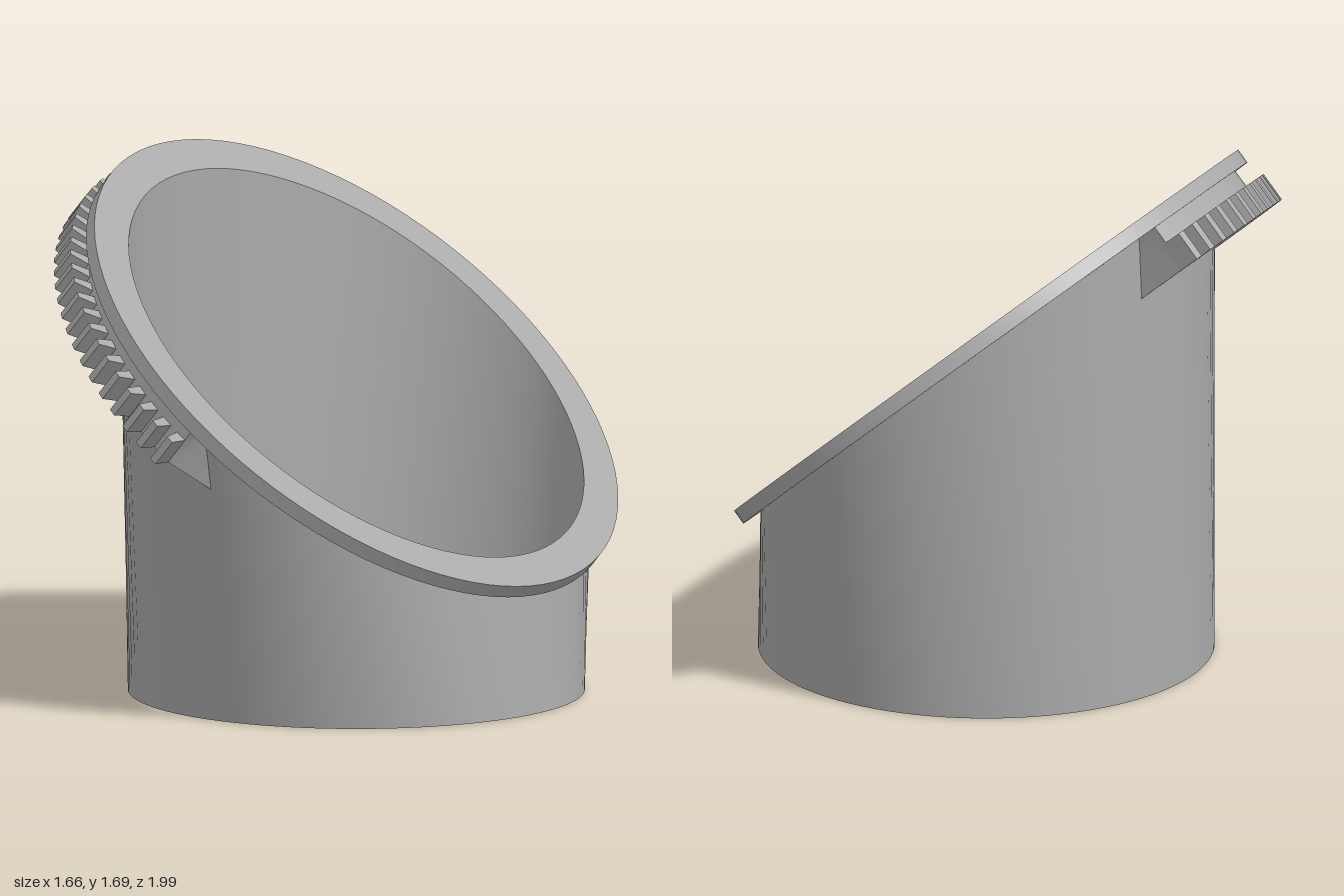
import * as THREE from 'three';

const TILT = THREE.MathUtils.degToRad(40);
const U = new THREE.Vector3(Math.cos(TILT), -Math.sin(TILT), 0); // downhill direction of the rim
const N = new THREE.Vector3(Math.sin(TILT), Math.cos(TILT), 0);  // rim normal
const CENTRE = new THREE.Vector3(0.075, 1.055, -0.012);          // middle of the rim's top face
const SEGMENTS = 96;

// Point on a tilted circle; angle 0 is uphill (-x) and grows towards +z
const rimPoint = (r, depth, a, shift = 0) => CENTRE.clone()
  .addScaledVector(U, shift - r * Math.cos(a))
  .addScaledVector(N, -depth)
  .add(new THREE.Vector3(0, 0, r * Math.sin(a)));

// Point on a level circle at the foot
const footPoint = (r, a) => new THREE.Vector3(CENTRE.x - r * Math.cos(a), 0, CENTRE.z + r * Math.sin(a));

const outerTop = a => rimPoint(0.89, 0.05, a, 0.035);

// Point inside the wall's thickness at a given depth below the rim
function wallPoint(a, depth) {
  const top = rimPoint(0.872, 0, a, 0.012), foot = footPoint(0.714, a);
  const footDepth = -foot.clone().sub(CENTRE).dot(N);
  return top.lerp(foot, depth / footDepth);
}

// Joins successive rings with separate strips, so the edges between them stay sharp
function loft(rings, from, to, segments, caps = false) {
  const pos = [], index = [];
  const push = p => pos.push(p.x, p.y, p.z) / 3 - 1;
  for (let k = 0; k < rings.length - 1; k++) {
    const base = pos.length / 3;
    for (let i = 0; i <= segments; i++) {
      const a = from + (to - from) * i / segments;
      push(rings[k](a));
      push(rings[k + 1](a));
      if (i < segments) {
        const q = base + i * 2;
        index.push(q, q + 1, q + 3, q, q + 3, q + 2);
      }
    }
  }
  if (caps) {
    for (const [a, flip] of [[from, false], [to, true]]) {
      const [p, q, r, s] = rings.map(ring => push(ring(a)));
      if (flip) index.push(p, q, r, p, r, s);
      else index.push(p, r, q, p, s, r);
    }
  }
  const geo = new THREE.BufferGeometry();
  geo.setAttribute('position', new THREE.Float32BufferAttribute(pos, 3));
  geo.setIndex(index);
  geo.computeVertexNormals();
  return geo;
}

export function createModel() {
  const model = new THREE.Group();
  model.name = 'angledCollar';
  const grey = new THREE.MeshStandardMaterial({ color: 0xaaaaaa, side: THREE.DoubleSide });
  grey.name = 'grey';
  const add = (name, geo, parent = model) => {
    const mesh = new THREE.Mesh(geo, grey);
    mesh.name = name;
    parent.add(mesh);
    return mesh;
  };

  // Hollow wall from the level foot to the tilted rim
  add('wall', loft([
    outerTop,
    a => footPoint(0.727, a),
    a => footPoint(0.7, a),
    a => rimPoint(0.858, 0, a),
  ], 0, Math.PI * 2, SEGMENTS));

  // Flat tilted flange around the opening
  add('flange', loft([
    a => rimPoint(0.858, 0, a),
    a => rimPoint(0.987, 0, a),
    a => rimPoint(0.987, 0.05, a),
    outerTop,
  ], 0, Math.PI * 2, SEGMENTS));

  // Curved rack under the flange, reaching in to the wall
  const start = THREE.MathUtils.degToRad(-17), end = THREE.MathUtils.degToRad(93);
  add('gearBody', loft([
    a => wallPoint(a, 0.05),
    a => rimPoint(0.94, 0.05, a),
    a => rimPoint(0.94, 0.21, a),
    a => wallPoint(a, 0.21),
  ], start, end, 40, true));

  // Tapered teeth along the rack
  const teeth = new THREE.Group();
  teeth.name = 'gearTeeth';
  teeth.position.copy(CENTRE);
  teeth.rotation.z = -TILT;
  model.add(teeth);
  const toothGeo = new THREE.BoxGeometry(0.086, 0.1, 0.042);
  const p = toothGeo.attributes.position;
  for (let i = 0; i < p.count; i++) if (p.getX(i) < 0) p.setZ(i, p.getZ(i) * 0.6);
  toothGeo.computeVertexNormals();
  const count = 27;
  for (let i = 0; i < count; i++) {
    const a = start + 0.02 + (end - start - 0.04) * i / (count - 1);
    const tooth = add('tooth', toothGeo, teeth);
    tooth.position.set(-0.964 * Math.cos(a), -0.16, 0.964 * Math.sin(a));
    tooth.rotation.y = a;
  }
  return model;
}
